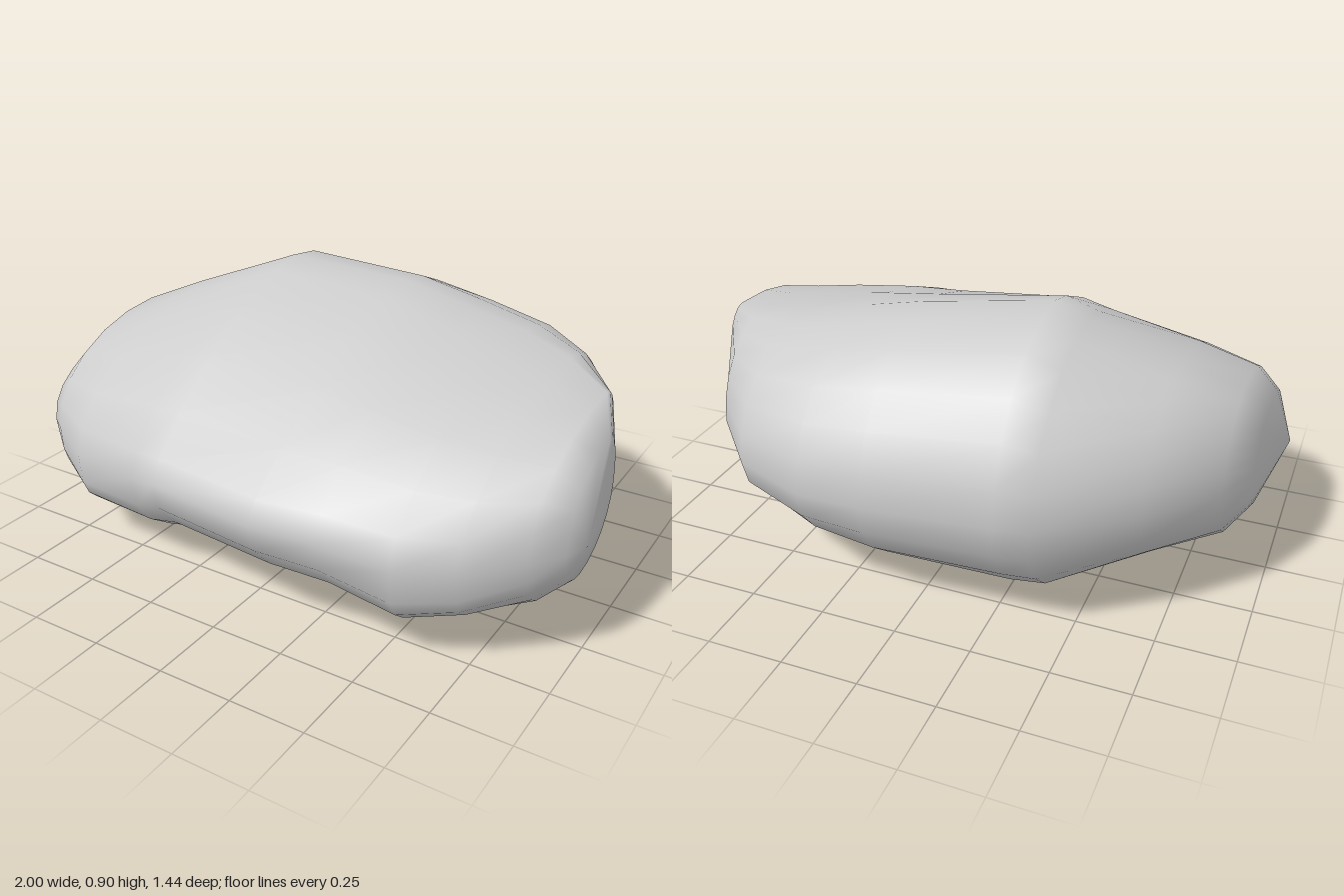
import * as THREE from 'three';
import { mergeVertices } from 'three/addons/utils/BufferGeometryUtils.js';

// Cross-sections of the boulder from -x to +x:
// x, top [z, y], front [z, y], bottom [z, y], back [z, y], roundness of the upper and lower front
const SECTIONS = [
  [-0.94, [0.05, 0.56], [0.42, 0.34], [0.25, 0.23], [-0.15, 0.40], 2.1, 2.4],
  [-0.87, [-0.05, 0.67], [0.47, 0.34], [0.25, 0.14], [-0.29, 0.42], 2.0, 3.0],
  [-0.68, [-0.12, 0.75], [0.58, 0.33], [0.22, 0.10], [-0.49, 0.42], 1.75, 3.3],
  [-0.40, [-0.15, 0.86], [0.635, 0.35], [-0.05, 0.005], [-0.685, 0.42], 1.45, 2.3],
  [-0.29, [-0.15, 0.905], [0.66, 0.37], [-0.10, 0], [-0.69, 0.41], 1.35, 2.0],
  [0.12, [-0.22, 0.865], [0.72, 0.38], [-0.10, 0.01], [-0.72, 0.40], 1.35, 2.0],
  [0.33, [-0.22, 0.82], [0.69, 0.37], [0, 0.045], [-0.72, 0.40], 1.55, 2.2],
  [0.56, [-0.22, 0.77], [0.655, 0.34], [0.18, 0.085], [-0.65, 0.42], 1.75, 3.3],
  [0.73, [-0.18, 0.73], [0.58, 0.34], [0.20, 0.13], [-0.47, 0.44], 1.85, 3.2],
  [0.89, [-0.08, 0.685], [0.46, 0.37], [0.25, 0.18], [-0.18, 0.48], 2.1, 2.6],
  [0.97, [0.10, 0.62], [0.38, 0.38], [0.25, 0.25], [0.02, 0.45], 2.2, 2.2],
];
const STEPS = 6; // points per quarter of a cross-section

// Section shrunk to one point, closing an end of the boulder
const tip = (x, y, z) => [x, [z, y], [z, y], [z, y], [z, y], 2, 2];

// Rounded quarter arcs joining top, front, bottom and back
function sectionPoints([x, top, front, bottom, back, upperFront, lowerFront]) {
  const corners = [top, front, bottom, back, top];
  const lowerBack = 2 + 0.6 * Math.min(x, 0) ** 2; // the back grows fuller towards the ends
  const upperBack = 1.85 + 0.35 * x * x;
  const points = [];
  [upperFront, lowerFront, lowerBack, upperBack].forEach((n, q) => {
    const a = corners[q], b = corners[q + 1];
    const fromSide = q % 2 === 1;
    for (let k = 0; k < STEPS; k++) {
      const t = (k / STEPS) * Math.PI / 2;
      const c = Math.cos(t) ** (2 / n);
      const s = Math.sin(t) ** (2 / n);
      const wz = fromSide ? 1 - c : s; // share of the move from a to b in z
      const wy = fromSide ? s : 1 - c; // and in y
      points.push(x, a[1] + (b[1] - a[1]) * wy, a[0] + (b[0] - a[0]) * wz);
    }
  });
  return points;
}

function boulderGeometry() {
  const sections = [tip(-1, 0.34, 0.27), ...SECTIONS, tip(1, 0.38, 0.3)];
  const ring = STEPS * 4;
  const positions = sections.flatMap(sectionPoints);
  const index = [];
  const last = sections.length - 2;
  for (let i = 0; i <= last; i++) {
    for (let j = 0; j < ring; j++) {
      const k = (j + 1) % ring;
      const a = i * ring + j, b = i * ring + k;
      const c = a + ring, d = b + ring;
      // The tips are single points, so they close as fans
      if (i > 0) index.push(a, b, c);
      if (i < last) index.push(b, d, c);
    }
  }
  const geometry = new THREE.BufferGeometry();
  geometry.setAttribute('position', new THREE.Float32BufferAttribute(positions, 3));
  geometry.setIndex(index);
  const merged = mergeVertices(geometry, 1e-5);
  merged.computeVertexNormals();
  return merged;
}

export function createModel() {
  const group = new THREE.Group();
  group.name = 'rock';
  const boulder = new THREE.Mesh(
    boulderGeometry(),
    new THREE.MeshStandardMaterial({ color: 0xcccccc })
  );
  boulder.name = 'boulder';
  group.add(boulder);
  return group;
}
